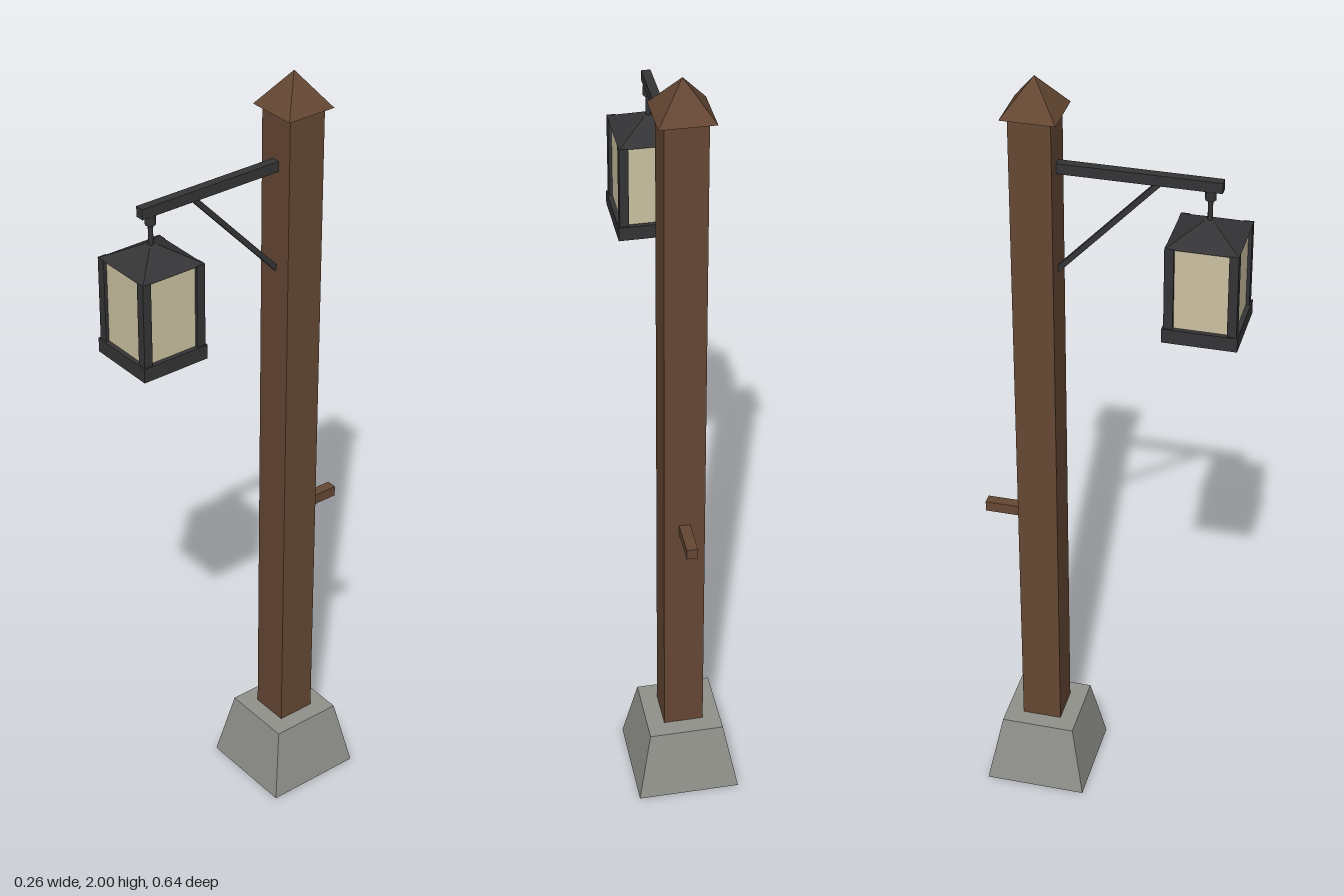
import * as THREE from 'three';

const material = (name, color) => {
  const m = new THREE.MeshStandardMaterial({ color });
  m.name = name;
  return m;
};

export function createModel() {
  const wood = material('brown wood', 0x644733);
  const stone = material('grey stone', 0x90918b);
  const iron = material('dark iron', 0x343436);
  const glass = material('pale glass', 0xcbc1a1);

  const model = new THREE.Group();
  model.name = 'lampPost';

  const add = (parent, name, geometry, mat, x, y, z) => {
    const mesh = new THREE.Mesh(geometry, mat);
    mesh.name = name;
    mesh.position.set(x, y, z);
    parent.add(mesh);
    return mesh;
  };
  const box = (parent, name, mat, w, h, d, x, y, z) =>
    add(parent, name, new THREE.BoxGeometry(w, h, d), mat, x, y, z);

  // Square frustum or pyramid given by half widths, standing on y0
  const taper = (parent, name, mat, top, bottom, y0, y1, z) => {
    const g = new THREE.CylinderGeometry(top * Math.SQRT2, bottom * Math.SQRT2, y1 - y0, 4, 1)
      .rotateY(Math.PI / 4).toNonIndexed();
    g.computeVertexNormals();
    return add(parent, name, g, mat, 0, (y0 + y1) / 2, z);
  };

  // Footing, post, cap and peg
  const postZ = -0.175;
  taper(model, 'footing', stone, 0.094, 0.129, 0, 0.18, postZ);
  box(model, 'post', wood, 0.1, 1.76, 0.1, 0, 1.04, postZ);
  taper(model, 'postCap', wood, 0, 0.065, 1.913, 2, postZ);
  box(model, 'peg', wood, 0.027, 0.027, 0.105, 0, 0.809, -0.2675);

  // Bracket arm with its diagonal brace
  box(model, 'arm', iron, 0.022, 0.026, 0.392, 0, 1.781, 0.061);
  const low = new THREE.Vector3(0, 1.515, -0.128);
  const high = new THREE.Vector3(0, 1.775, 0.115);
  const brace = box(model, 'brace', iron, 0.013, 0.013, low.distanceTo(high), 0, 0, 0);
  brace.position.copy(low).lerp(high, 0.5);
  brace.lookAt(high);

  // Hanging lantern
  const lantern = new THREE.Group();
  lantern.name = 'lantern';
  lantern.position.z = 0.228;
  model.add(lantern);

  add(lantern, 'hook', new THREE.CylinderGeometry(0.013, 0.013, 0.024, 8), iron, 0, 1.757, 0);
  add(lantern, 'hangerRod', new THREE.CylinderGeometry(0.006, 0.006, 0.08, 8), iron, 0, 1.72, 0);
  taper(lantern, 'roof', iron, 0.012, 0.085, 1.653, 1.695, 0);
  box(lantern, 'glassBody', glass, 0.154, 0.21, 0.154, 0, 1.55, 0);
  box(lantern, 'tray', iron, 0.177, 0.036, 0.177, 0, 1.428, 0);
  for (const x of [-1, 1]) {
    for (const z of [-1, 1]) {
      box(lantern, 'cornerBar', iron, 0.022, 0.212, 0.022, x * 0.074, 1.549, z * 0.074);
    }
  }
  return model;
}
